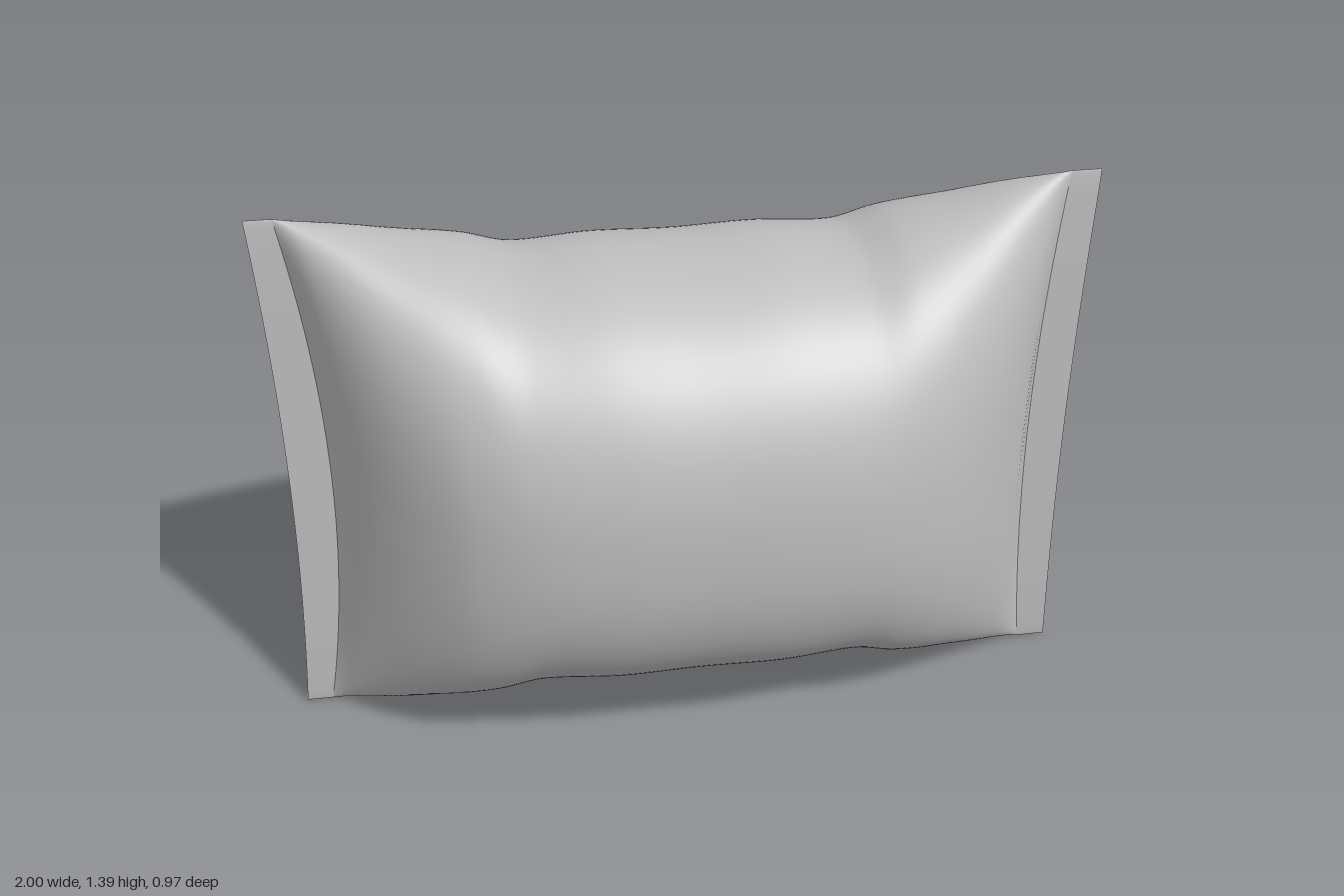
import * as THREE from 'three';

const CENTER_Y = 0.703, SEAL = 0.012, POWER = 2.3;

// [position along the bag, value]
const DEPTH = [[0, 0.48], [0.23, 0.475], [0.45, 0.45], [0.62, 0.4], [0.73, 0.335], [0.84, 0.24], [0.94, 0.12], [1, SEAL]];
const HEIGHT = [[0, 0.548], [0.22, 0.555], [0.43, 0.55], [0.55, 0.588], [0.7, 0.622], [0.86, 0.665], [1, 0.694]];

// smooth interpolation through a short table
function sample(table, t) {
  const n = table.length - 1;
  if (t >= 1) return table[n][1];
  let i = 0;
  while (i < n - 1 && t > table[i + 1][0]) i++;
  const slope = (k) => {
    if (k === 0) return 0;
    const a = table[k - 1], b = table[Math.min(k + 1, n)];
    return (b[1] - a[1]) / (b[0] - a[0]);
  };
  const [x0, y0] = table[i], [x1, y1] = table[i + 1];
  const w = x1 - x0, s = (t - x0) / w, s2 = s * s, s3 = s2 * s;
  return (2 * s3 - 3 * s2 + 1) * y0 + (s3 - 2 * s2 + s) * w * slope(i)
    + (3 * s2 - 2 * s3) * y1 + (s3 - s2) * w * slope(i + 1);
}

// x for a station s: |s| <= 1 is the puffed body, 1 to 2 is the flat end seal; v = -1..1 up the bag
function stationX(s, v) {
  const side = Math.sign(s), a = Math.abs(s), v2 = v * v;
  const inner = side > 0 ? 0.885 + 0.04 * v2 : 0.87 + 0.065 * v2;
  const outer = side > 0 ? 0.982 + 0.018 * v2 : 0.972 + 0.028 * v2;
  return side * (a <= 1 ? a * inner : inner + (outer - inner) * (a - 1));
}

// the two seals sit slightly to either side of the middle plane
const shiftZ = (s) => 0.013 * Math.sign(s) * Math.min(1, Math.abs(s)) ** 6;

// one point of the bag skin at station s and angle a around it
function skin(s, a, flat = 1) {
  const t = Math.min(1, Math.abs(s));
  const c = Math.cos(a), n = Math.sin(a);
  const v = Math.sign(n) * Math.abs(n) ** (2 / POWER);
  const w = Math.sign(c) * Math.abs(c) ** (2 / POWER);
  return [stationX(s, v), CENTER_Y + sample(HEIGHT, t) * v, shiftZ(s) + sample(DEPTH, t) * w * flat];
}

// skin through rows of [station, flatness]
function loft(rows, around = 128) {
  const pos = [], index = [];
  for (const [s, flat] of rows)
    for (let j = 0; j < around; j++) pos.push(...skin(s, (j / around) * Math.PI * 2, flat));
  for (let i = 0; i < rows.length - 1; i++)
    for (let j = 0; j < around; j++) {
      const k = (j + 1) % around, p = i * around, q = p + around;
      index.push(p + j, q + j, p + k, q + j, q + k, p + k);
    }
  const g = new THREE.BufferGeometry();
  g.setAttribute('position', new THREE.Float32BufferAttribute(pos, 3));
  g.setIndex(index);
  g.computeVertexNormals();
  return g;
}

// overlapping seam strip: a thin box laid along the back skin
function seamStrip() {
  const g = new THREE.BoxGeometry(4, 1, 1, 240, 4, 1);
  const p = g.attributes.position;
  for (let i = 0; i < p.count; i++) {
    const s = p.getX(i), t = Math.min(1, Math.abs(s));
    const y = 0.6 + 0.018 * t * t + p.getY(i) * 0.097;
    const v = (y - CENTER_Y) / sample(HEIGHT, t);
    const z = shiftZ(s) - sample(DEPTH, t) * (1 - Math.abs(v) ** POWER) ** (1 / POWER);
    p.setXYZ(i, stationX(s, v), y, z + (p.getZ(i) < 0 ? -0.007 : 0.004));
  }
  g.computeVertexNormals();
  return g;
}

export function createModel() {
  const model = new THREE.Group();
  model.name = 'pillowBag';
  const foil = new THREE.MeshStandardMaterial({ color: 0xbfbfbf });
  foil.name = 'grey foil';
  const add = (name, geometry) => {
    const mesh = new THREE.Mesh(geometry, foil);
    mesh.name = name;
    model.add(mesh);
  };

  // puffed body
  add('body', loft(Array.from({ length: 121 }, (_, i) => [i / 60 - 1, 1])));

  // flat end seals and their closing edges
  add('leftSeal', loft([[1, 1], [1.5, 1], [2, 1]]));
  add('leftSealEdge', loft([[2, 1], [2, 0]]));
  add('rightSeal', loft([[-2, 1], [-1.5, 1], [-1, 1]]));
  add('rightSealEdge', loft([[-2, 0], [-2, 1]]));

  add('backSeam', seamStrip());
  return model;
}
